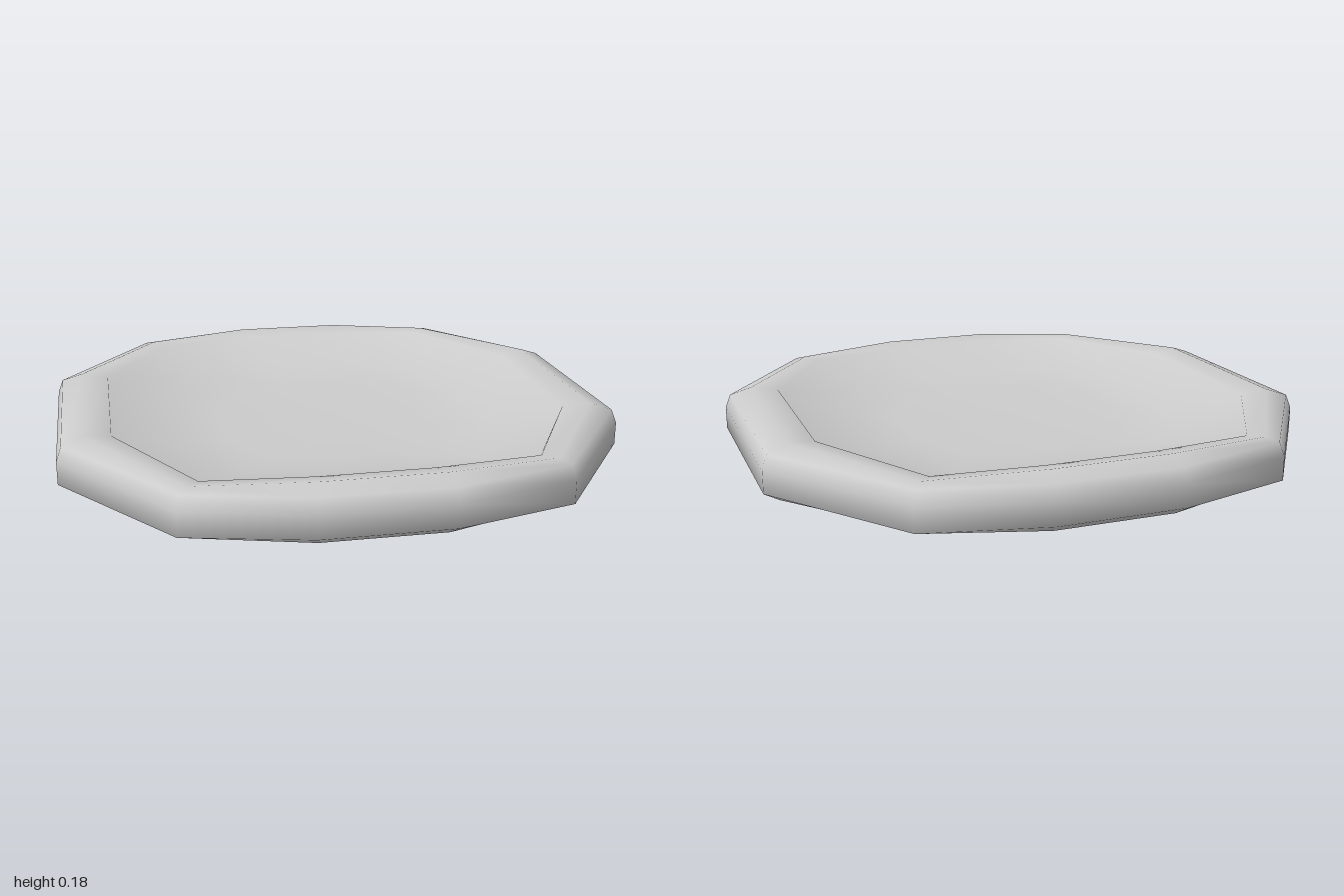
import * as THREE from 'three';

// Half outlines [x, z]; the other half is the same turned by 180 degrees
const outerHalf = [[-0.11, -1], [0.44, -0.88], [0.92, -0.35], [0.98, 0.21], [0.76, 0.545], [0.455, 0.815]];
const innerHalf = [[-0.1, -0.88], [0.345, -0.73], [0.76, -0.263], [0.86, 0.19], [0.64, 0.455], [0.38, 0.69]];
const turn = (half) => [...half, ...half.map(([x, z]) => [-x, -z])];
const outer = turn(outerHalf), inner = turn(innerHalf);
const crest = outer.map(([x, z], i) => [(x + inner[i][0]) / 2, (z + inner[i][1]) / 2]);

// Ring at a height; pinch moves the four pointed corners up or down
const ring = (outline, scale, y, pinch = 0) =>
  outline.map(([x, z], i) => [x * scale, y + (i % 3 === 0 ? pinch : 0), z * scale]);

// Smooth skin through a list of rings, closed by a centre point
function skin(rings, centreY) {
  const n = rings[0].length, pos = rings.flat(2), index = [];
  for (let r = 0; r < rings.length - 1; r++) {
    for (let i = 0; i < n; i++) {
      const j = (i + 1) % n, a = r * n + i, b = r * n + j;
      index.push(a, a + n, b + n, a, b + n, b);
    }
  }
  const base = (rings.length - 1) * n, c = rings.length * n;
  pos.push(0, centreY, 0);
  for (let i = 0; i < n; i++) index.push(base + i, c, base + (i + 1) % n);
  const g = new THREE.BufferGeometry();
  g.setAttribute('position', new THREE.Float32BufferAttribute(pos, 3));
  g.setIndex(index);
  g.computeVertexNormals();
  return g;
}

export function createModel() {
  const group = new THREE.Group();
  group.name = 'shallowDish';
  const grey = new THREE.MeshStandardMaterial({ color: 0xcccccc });
  grey.name = 'pale grey';
  const add = (name, geometry) => {
    const mesh = new THREE.Mesh(geometry, grey);
    mesh.name = name;
    group.add(mesh);
  };
  const foot = ring(outer, 0.945, 0.003, 0.015);

  // Outer wall, rounded rim and shallow hollow in one smooth surface
  add('dishBody', skin([
    foot,
    ring(outer, 1, 0.035),
    ring(outer, 1, 0.11),
    ring(outer, 0.982, 0.155),
    ring(crest, 1, 0.179, -0.013),
    ring(inner, 1, 0.166, -0.006),
    ring(inner, 0.99, 0.145),
    ring(inner, 0.72, 0.09),
    ring(inner, 0.5, 0.075),
  ], 0.07));

  // Underside, wound to face down
  add('base', skin([[...foot].reverse()], 0));

  return group;
}
